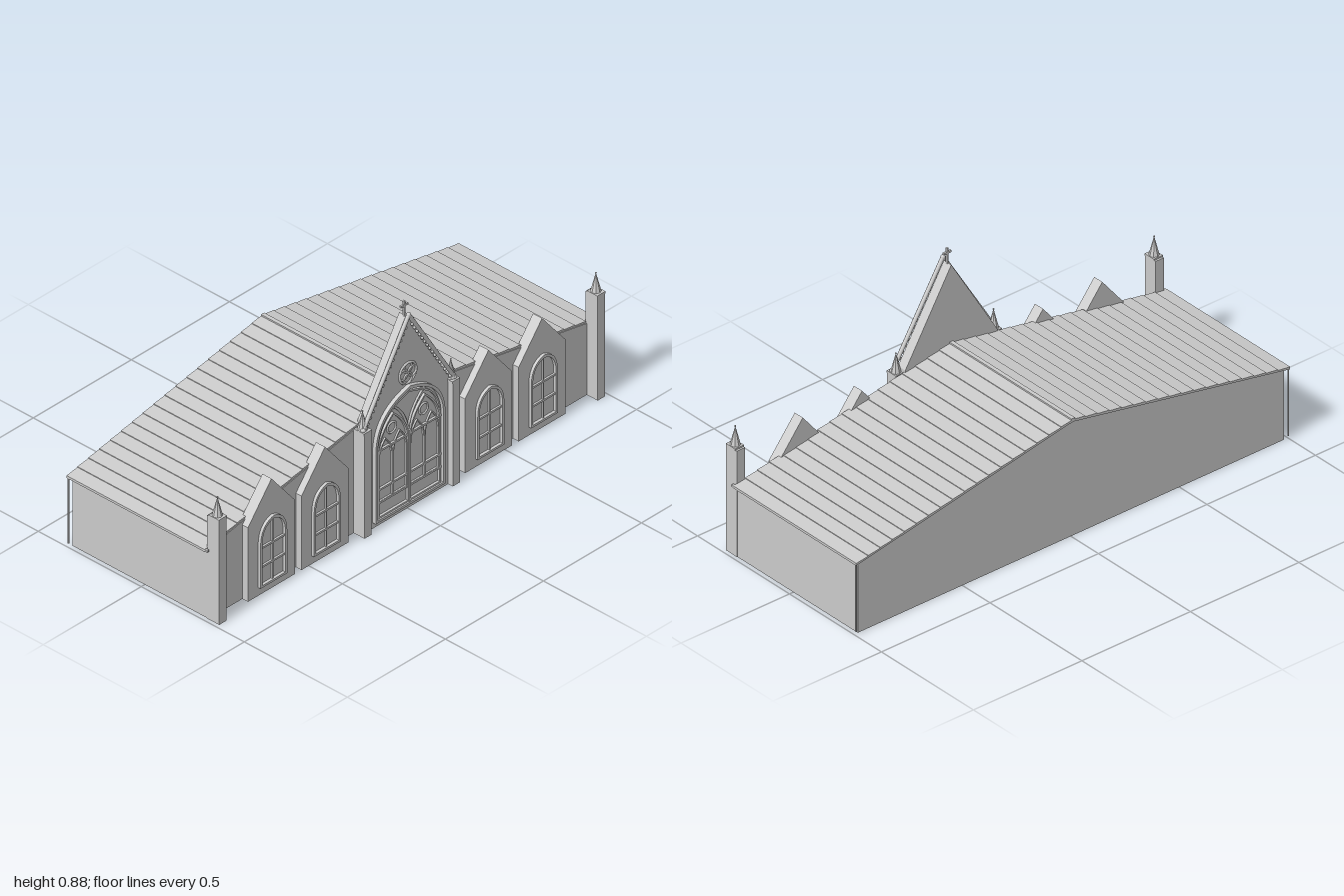
import * as THREE from 'three';

const grey = new THREE.MeshStandardMaterial({ color: 0xcccccc, flatShading: true });
const smooth = new THREE.MeshStandardMaterial({ color: 0xcccccc });

function add(parent, name, geometry, x = 0, y = 0, z = 0, material = grey) {
  const mesh = new THREE.Mesh(geometry, material);
  mesh.name = name;
  mesh.position.set(x, y, z);
  parent.add(mesh);
  return mesh;
}

// box given by its limits
function box(parent, name, x0, x1, y0, y1, z0, z1) {
  return add(parent, name, new THREE.BoxGeometry(x1 - x0, y1 - y0, z1 - z0),
    (x0 + x1) / 2, (y0 + y1) / 2, (z0 + z1) / 2);
}

function extrude(shape, depth) {
  return new THREE.ExtrudeGeometry(shape, { depth, bevelEnabled: false, curveSegments: 12 });
}

function polygon(points) {
  return new THREE.Shape(points.map(([x, y]) => new THREE.Vector2(x, y)));
}

// house-shaped outline: straight walls and a pointed top
function gable(halfWidth, shoulder, peak) {
  return polygon([[-halfWidth, 0], [halfWidth, 0], [halfWidth, shoulder], [0, peak], [-halfWidth, shoulder]]);
}

// arch outline; fullness bends it from a sharp lancet to nearly round
function arch(w, bottom, spring, top, fullness) {
  const s = new THREE.Shape();
  const cy = spring + (top - spring) * fullness;
  s.moveTo(-w, bottom);
  s.lineTo(w, bottom);
  s.lineTo(w, spring);
  s.quadraticCurveTo(w, cy, 0, top);
  s.quadraticCurveTo(-w, cy, -w, spring);
  return s;
}

function archFrame(w, bottom, spring, top, fullness, t, depth) {
  const s = arch(w, bottom, spring, top, fullness);
  s.holes.push(arch(w - t, bottom + t, spring, top - t * 1.3, fullness));
  return extrude(s, depth);
}

// square buttress with a capped spire
function buttress(parent, x, half) {
  const g = new THREE.Group();
  g.name = 'buttress';
  box(g, 'buttressShaft', x - half, x + half, 0, 0.44, 0.305, 0.363);
  box(g, 'buttressCap', x - half - 0.002, x + half + 0.002, 0.437, 0.446, 0.313, 0.363);
  const cone = new THREE.ConeGeometry(0.02, 0.078, 8);
  add(g, 'spire', cone, x, 0.484, 0.336);
  add(g, 'spireTip', new THREE.SphereGeometry(0.0035, 8, 6), x, 0.522, 0.336, smooth);
  parent.add(g);
}

// side bay with a gabled front and an arched window
function sideBay(parent, x) {
  const g = new THREE.Group();
  g.name = 'sideBay';
  g.position.x = x;
  add(g, 'bayWall', extrude(gable(0.12, 0.315, 0.465), 0.044), 0, 0, 0.293);
  add(g, 'windowFrame', archFrame(0.068, 0.035, 0.215, 0.315, 0.85, 0.009, 0.012), 0, 0, 0.337);
  for (const y of [0.12, 0.2]) box(g, 'windowBar', -0.06, 0.06, y - 0.004, y + 0.004, 0.336, 0.345);
  box(g, 'windowMullion', -0.003, 0.003, 0.04, 0.305, 0.336, 0.344);
  parent.add(g);
}

export function createModel() {
  const model = new THREE.Group();
  model.name = 'chapel';
  const EAVE = 0.297, RIDGE = 0.49;

  // main hall
  add(model, 'hall', extrude(gable(0.982, EAVE, RIDGE - 0.006), 0.66), 0, 0, -0.35);

  // roof in shallow overlapping courses, mirrored across the ridge
  const courses = 18, right = [];
  for (let i = 0; i < courses; i++) {
    const at = k => [1 - k / courses, EAVE + (RIDGE - EAVE) * k / courses];
    const [x0, y0] = at(i), [x1, y1] = at(i + 1);
    right.push([x0, y0 + 0.005], [x1, y1 + 0.002]);
  }
  const left = right.slice(0, -1).reverse().map(([x, y]) => [-x, y]);
  const roof = polygon([[0, RIDGE - 0.007], [1, EAVE - 0.005], ...right, ...left, [-1, EAVE - 0.005]]);
  add(model, 'roof', extrude(roof, 0.67), 0, 0, -0.363);
  box(model, 'ridgeCap', -0.008, 0.008, 0.487, 0.497, -0.363, 0.305);

  for (const s of [-1, 1]) {
    // gutter and rear downpipe
    box(model, 'gutter', s * 0.994 - 0.005, s * 0.994 + 0.005, 0.293, 0.301, -0.363, 0.318);
    add(model, 'downpipe', new THREE.CylinderGeometry(0.003, 0.003, 0.285, 8), s * 0.996, 0.157, -0.357, smooth);
    buttress(model, s * 0.965, 0.019);
    buttress(model, s * 0.225, 0.018);
    sideBay(model, s * 0.69);
    sideBay(model, s * 0.417);
  }

  // central entrance gable
  const entrance = new THREE.Group();
  entrance.name = 'entrance';
  model.add(entrance);
  add(entrance, 'entranceWall', extrude(gable(0.212, 0.462, 0.815), 0.04), 0, 0, 0.3);

  // rounded coping with a row of small leaf knobs below it
  for (const s of [-1, 1]) {
    const foot = new THREE.Vector3(s * 0.232, 0.448, 0.346);
    const apex = new THREE.Vector3(0, 0.826, 0.346);
    const line = new THREE.LineCurve3(foot, apex);
    add(entrance, 'coping', new THREE.TubeGeometry(line, 1, 0.008, 10), 0, 0, 0, smooth);
    add(entrance, 'copingFoot', new THREE.SphereGeometry(0.011, 10, 8), foot.x, foot.y, foot.z, smooth);
    for (let i = 1; i < 17; i++) {
      const p = line.getPoint(i / 18);
      add(entrance, 'copingKnob', new THREE.SphereGeometry(0.006, 6, 5), p.x - s * 0.01, p.y - 0.006, 0.347, smooth);
    }
  }
  add(entrance, 'copingApex', new THREE.SphereGeometry(0.009, 10, 8), 0, 0.826, 0.346, smooth);

  // cross on the peak
  box(entrance, 'crossPost', -0.004, 0.004, 0.805, 0.875, 0.319, 0.327);
  box(entrance, 'crossArm', -0.018, 0.018, 0.852, 0.86, 0.319, 0.327);

  // great window: outer arch, paired lancets and tracery
  add(entrance, 'archMoulding', archFrame(0.178, 0.025, 0.32, 0.528, 0.8, 0.01, 0.016), 0, 0, 0.34);
  add(entrance, 'innerArch', archFrame(0.163, 0.035, 0.32, 0.505, 0.8, 0.006, 0.009), 0, 0, 0.34);
  for (const s of [-1, 1]) {
    add(entrance, 'largeLancet', archFrame(0.08, 0.035, 0.3, 0.452, 0.55, 0.007, 0.011), s * 0.081, 0, 0.339);
    for (const t of [-1, 1])
      add(entrance, 'smallLancet', archFrame(0.037, 0.1, 0.27, 0.36, 0.6, 0.005, 0.008), s * 0.081 + t * 0.037, 0, 0.339);
    add(entrance, 'lancetRing', new THREE.TorusGeometry(0.022, 0.004, 6, 20), s * 0.081, 0.385, 0.341, smooth);
    // curved ribs branching from the middle post to the outer arch
    const rib = new THREE.QuadraticBezierCurve3(
      new THREE.Vector3(0, 0.335, 0.342), new THREE.Vector3(s * 0.015, 0.43, 0.342), new THREE.Vector3(s * 0.09, 0.482, 0.342));
    add(entrance, 'archRib', new THREE.TubeGeometry(rib, 12, 0.005, 6), 0, 0, 0, smooth);
  }
  box(entrance, 'middlePost', -0.005, 0.005, 0.03, 0.34, 0.339, 0.353);
  for (const y of [0.1, 0.155, 0.32])
    box(entrance, 'crossBar', -0.165, 0.165, y - 0.004, y + 0.004, 0.339, 0.349);

  // four-lobed rose above the window
  add(entrance, 'roseRing', new THREE.TorusGeometry(0.043, 0.0045, 6, 32), 0, 0.577, 0.342, smooth);
  for (let i = 0; i < 4; i++) {
    const a = i * Math.PI / 2;
    add(entrance, 'roseLobe', new THREE.TorusGeometry(0.02, 0.004, 6, 20),
      0.022 * Math.cos(a), 0.577 + 0.022 * Math.sin(a), 0.342, smooth);
  }
  return model;
}
